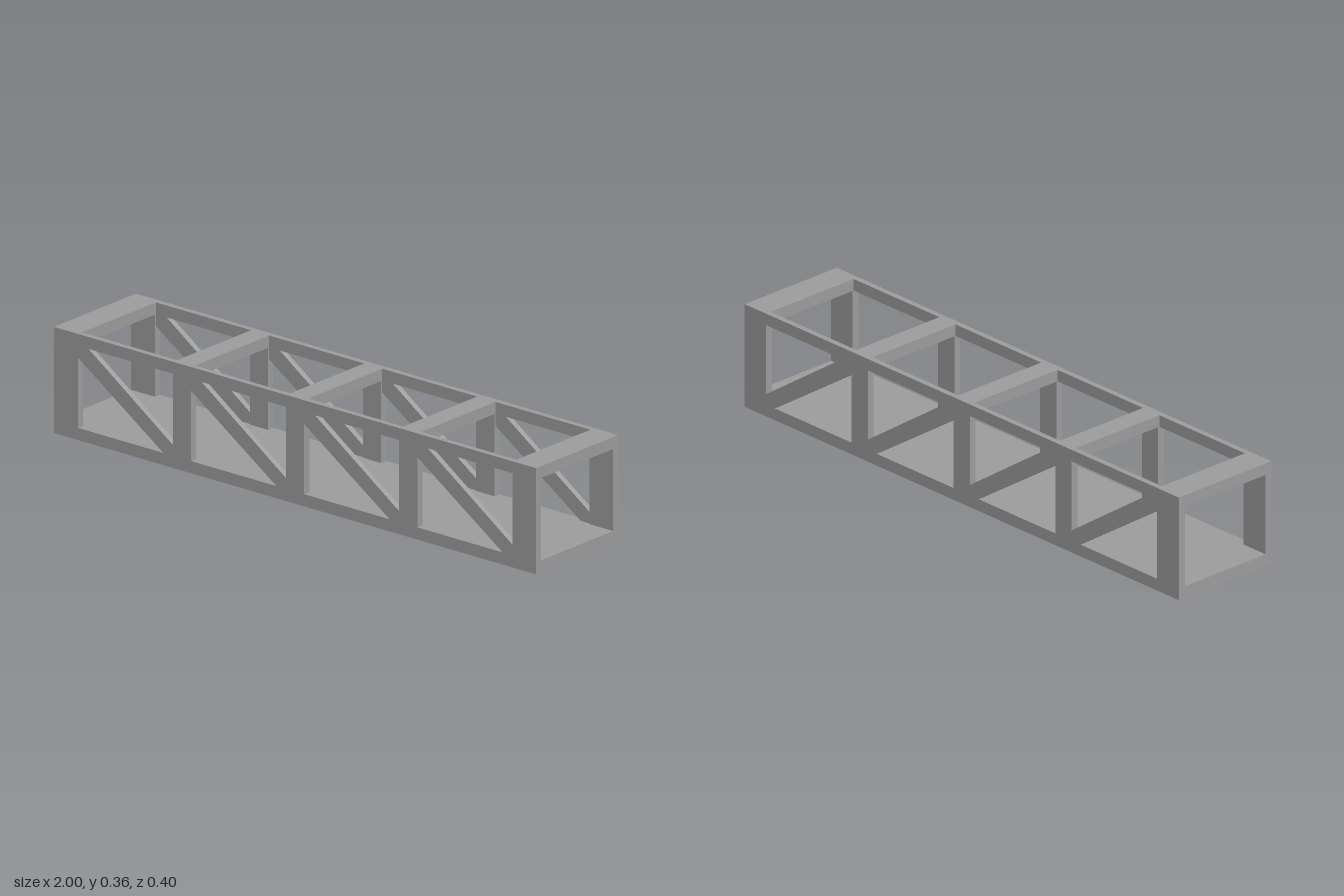
import * as THREE from 'three';

const material = new THREE.MeshStandardMaterial({ color: 0x9d9d9d, flatShading: true });
const HEIGHT = 0.357, FLOOR = 0.041, CEILING = 0.317; // overall height, floor top, deck underside
const HALF_WIDTH = 0.2, POST_DEPTH = 0.025, BRACE_DEPTH = 0.02;
const BAYS = [-0.7025, -0.2335, 0.2355, 0.7045], HALF_BAY = 0.197;

function polygon(points, Type = THREE.Shape) {
  return new Type(points.map(([x, y]) => new THREE.Vector2(x, y)));
}

function addMesh(parent, name, geometry, x = 0, y = 0, z = 0) {
  const mesh = new THREE.Mesh(geometry, material);
  mesh.name = name;
  mesh.position.set(x, y, z);
  parent.add(mesh);
}

export function createModel() {
  const truss = new THREE.Group();
  truss.name = 'boxTruss';

  // Solid floor plate
  addMesh(truss, 'floor', new THREE.BoxGeometry(2, FLOOR, 2 * HALF_WIDTH), 0, FLOOR / 2, 0);

  // Top frame with one opening per bay
  const rect = (x0, x1, h) => [[x0, -h], [x1, -h], [x1, h], [x0, h]];
  const frame = polygon(rect(-1, 1, HALF_WIDTH));
  for (const x of BAYS) {
    const opening = rect(x - HALF_BAY, x + HALF_BAY, HALF_WIDTH - BRACE_DEPTH);
    frame.holes.push(polygon(opening, THREE.Path));
  }
  const top = new THREE.ExtrudeGeometry(frame, { depth: HEIGHT - CEILING, bevelEnabled: false });
  top.rotateX(-Math.PI / 2);
  addMesh(truss, 'topFrame', top, 0, CEILING, 0);

  // Diagonal brace, running from upper -x to lower +x of a bay
  const brace = new THREE.ExtrudeGeometry(polygon([
    [-HALF_BAY, CEILING], [-HALF_BAY, 0.277], [0.157, FLOOR],
    [HALF_BAY, FLOOR], [HALF_BAY, 0.077], [-0.153, CEILING],
  ]), { depth: BRACE_DEPTH, bevelEnabled: false });
  brace.translate(0, 0, -BRACE_DEPTH / 2);

  // Post edges alternate with the bay edges
  const edges = [-1, ...BAYS.flatMap(x => [x - HALF_BAY, x + HALF_BAY]), 1];

  // Front and back walls, braces flush with the outer face
  for (const [side, name] of [[1, 'frontWall'], [-1, 'backWall']]) {
    const wall = new THREE.Group();
    wall.name = name;
    for (let i = 0; i < edges.length; i += 2) {
      const width = edges[i + 1] - edges[i];
      addMesh(wall, 'post', new THREE.BoxGeometry(width, CEILING - FLOOR, POST_DEPTH),
        edges[i] + width / 2, (CEILING + FLOOR) / 2, side * (HALF_WIDTH - POST_DEPTH / 2));
    }
    for (const x of BAYS) {
      addMesh(wall, 'diagonalBrace', brace, x, 0, side * (HALF_WIDTH - BRACE_DEPTH / 2));
    }
    truss.add(wall);
  }
  return truss;
}
